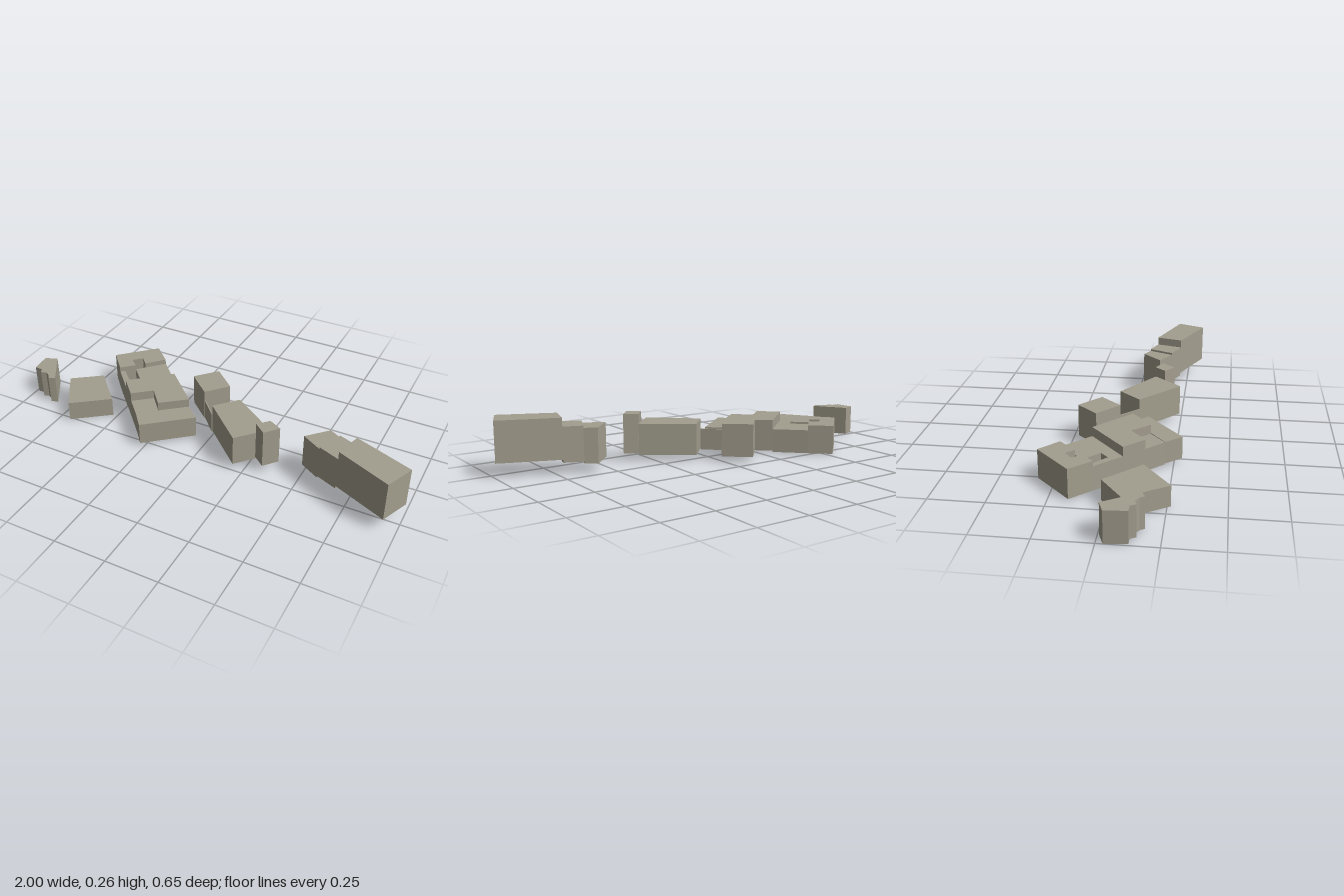
import * as THREE from 'three';

const stone = new THREE.MeshStandardMaterial({ color: 0xa39e8e });
stone.name = 'stone';

// Vertical prism over a footprint of [x, z] corners, from y0 up to y1
function block(name, y0, y1, corners) {
  const shape = new THREE.Shape(corners.map(([x, z]) => new THREE.Vector2(x, -z)));
  const geometry = new THREE.ExtrudeGeometry(shape, { depth: y1 - y0, bevelEnabled: false });
  geometry.rotateX(-Math.PI / 2);
  geometry.translate(0, y0, 0);
  const mesh = new THREE.Mesh(geometry, stone);
  mesh.name = name;
  return mesh;
}

function cluster(name, ...blocks) {
  const group = new THREE.Group();
  group.name = name;
  group.add(...blocks);
  return group;
}

export function createModel() {
  const model = new THREE.Group();
  model.name = 'buildingRow';

  // Small house with a jagged front
  model.add(block('jaggedHouse', 0, 0.145, [
    [-1, 0.03], [-0.94, 0.008], [-0.842, 0.163], [-0.873, 0.178], [-0.886, 0.158],
    [-0.912, 0.142], [-0.938, 0.152], [-0.952, 0.127], [-0.99, 0.127],
  ]));

  // Low square house
  model.add(block('squareHouse', 0.003, 0.1, [
    [-0.813, 0.077], [-0.675, -0.025], [-0.52, 0.136], [-0.692, 0.266],
  ]));

  // Long stepped block with two small courtyards
  model.add(cluster('courtyardBlock',
    block('backWing', 0.005, 0.145, [
      [-0.52, -0.326], [-0.43, -0.243], [-0.506, -0.163], [-0.542, -0.2],
      [-0.583, -0.163], [-0.542, -0.125], [-0.602, -0.07], [-0.687, -0.163],
    ]),
    block('courtyardWing', 0.005, 0.12, [
      [-0.43, -0.243], [-0.307, -0.12], [-0.494, 0.043], [-0.602, -0.07], [-0.585, -0.088],
      [-0.51, -0.02], [-0.473, -0.056], [-0.542, -0.125], [-0.506, -0.163],
    ]),
    block('tallWing', 0.011, 0.165, [
      [-0.307, -0.12], [-0.132, 0.046], [-0.25, 0.14], [-0.323, 0.058],
      [-0.41, 0.131], [-0.494, 0.043],
    ]),
    block('sideBay', 0.011, 0.12, [
      [-0.41, 0.131], [-0.323, 0.058], [-0.25, 0.14], [-0.334, 0.211],
    ]),
    block('frontWing', 0.015, 0.122, [
      [-0.132, 0.046], [-0.06, 0.11], [-0.27, 0.286], [-0.334, 0.211],
    ]),
  ));

  // Middle houses joined by a thin wall
  model.add(cluster('middleHouses',
    block('rearHouse', 0.025, 0.183, [
      [-0.195, -0.12], [-0.104, -0.22], [0.007, -0.122], [-0.083, -0.022],
    ]),
    block('linkWall', 0.027, 0.13, [
      [-0.083, -0.025], [-0.078, -0.028], [0.005, 0.058], [0, 0.062],
    ]),
    block('longHouse', 0.031, 0.18, [
      [0.003, 0.06], [0.099, -0.045], [0.323, 0.11], [0.202, 0.243],
    ]),
    block('tower', 0.041, 0.23, [
      [0.325, 0.108], [0.388, 0.142], [0.333, 0.205], [0.278, 0.16],
    ]),
  ));

  // Right-hand row rising in three steps
  model.add(cluster('steppedRow',
    block('lowStep', 0.045, 0.208, [
      [0.494, 0.117], [0.585, 0.022], [0.64, 0.053], [0.588, 0.173],
    ]),
    block('middleStep', 0.054, 0.218, [
      [0.64, 0.053], [0.726, 0.086], [0.69, 0.215], [0.588, 0.173],
    ]),
    block('highStep', 0.068, 0.258, [
      [0.726, 0.086], [1, 0.19], [0.942, 0.326], [0.69, 0.215],
    ]),
  ));

  return model;
}
